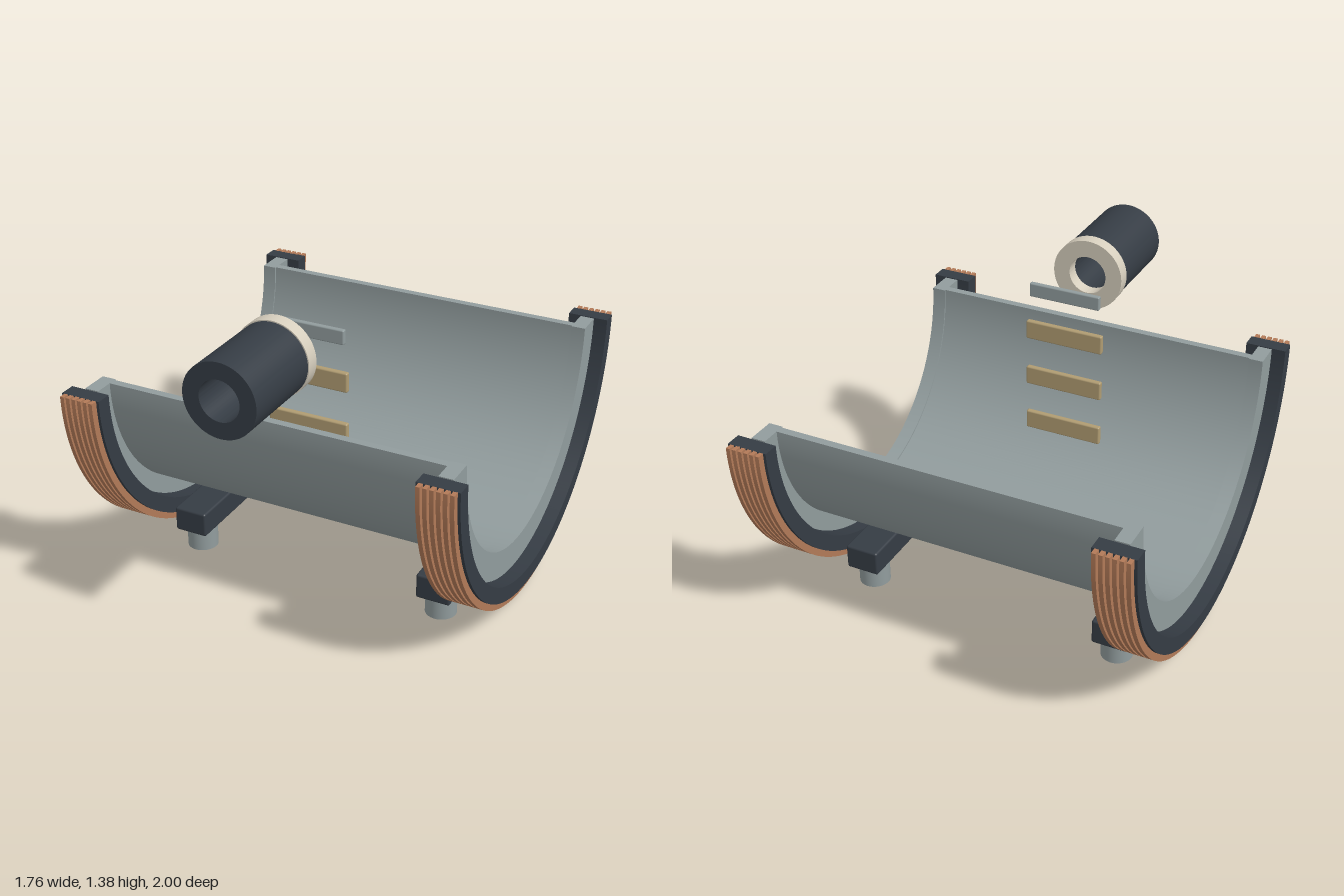
import * as THREE from 'three';
import { toCreasedNormals } from 'three/addons/utils/BufferGeometryUtils.js';
import { RoundedBoxGeometry } from 'three/addons/geometries/RoundedBoxGeometry.js';

const AXIS_Y = 0.955, AXIS_Z = -0.0875;

export function createModel() {
  const root = new THREE.Group();
  root.name = 'halfChamberAssembly';

  const mat = (name, color) => {
    const m = new THREE.MeshStandardMaterial({ color });
    m.name = name;
    return m;
  };
  const steel = mat('steel grey', 0x919c9d);
  const dark = mat('dark slate', 0x353c44);
  const copper = mat('copper', 0xb27a58);
  const tan = mat('tan', 0xb09c72);
  const cream = mat('cream', 0xd6cebd);

  const add = (name, geometry, material, x = 0, y = 0, z = 0) => {
    const mesh = new THREE.Mesh(geometry, material);
    mesh.name = name;
    mesh.position.set(x, y, z);
    root.add(mesh);
    return mesh;
  };

  // Lower half of a ring, swept along x and centred on its own middle
  const halfRing = (rIn, rOut, width) => {
    const s = new THREE.Shape();
    s.absarc(0, 0, rOut, Math.PI, 2 * Math.PI, false);
    s.absarc(0, 0, rIn, 2 * Math.PI, Math.PI, true);
    s.closePath();
    const g = new THREE.ExtrudeGeometry(s, { depth: width, bevelEnabled: false, curveSegments: 72 });
    g.translate(0, 0, -width / 2);
    g.rotateY(Math.PI / 2);
    return toCreasedNormals(g, 0.5);
  };

  // Full ring with a through bore, swept along z
  const sleeve = (rIn, rOut, length) => {
    const s = new THREE.Shape();
    s.absarc(0, 0, rOut, 0, 2 * Math.PI, false);
    const hole = new THREE.Path();
    hole.absarc(0, 0, rIn, 0, 2 * Math.PI, true);
    s.holes.push(hole);
    const g = new THREE.ExtrudeGeometry(s, { depth: length, bevelEnabled: false, curveSegments: 48 });
    return toCreasedNormals(g, 0.5);
  };

  // Trough wall
  add('chamberWall', halfRing(0.687, 0.722, 1.514), steel, 0, AXIS_Y, AXIS_Z);

  const flangeGeo = halfRing(0.68, 0.805, 0.063);
  const collarGeo = halfRing(0.812, 0.882, 0.18);
  const windingGeo = halfRing(0.88, 0.9125, 0.018);
  const beamGeo = new RoundedBoxGeometry(0.155, 0.115, 0.86, 3, 0.01);
  const footGeo = new THREE.CylinderGeometry(0.069, 0.069, 0.106, 40);

  for (const side of [-1, 1]) {
    // End flange, coil former and windings
    add('endFlange', flangeGeo, steel, side * 0.7885, AXIS_Y, AXIS_Z);
    add('coilFormer', collarGeo, dark, side * 0.79, AXIS_Y, AXIS_Z);
    for (let i = 0; i < 6; i++) {
      add('coilWinding', windingGeo, copper, side * 0.79 + (i - 2.5) * 0.0275, AXIS_Y, AXIS_Z);
    }
    // Support beam with two feet
    add('supportBeam', beamGeo, dark, side * 0.593, 0.1625, AXIS_Z);
    for (const dz of [-0.33, 0.33]) {
      add('foot', footGeo, steel, side * 0.593, 0.053, AXIS_Z + dz);
    }
  }

  // Tan plates stacked in a vertical row
  const plateGeo = new RoundedBoxGeometry(0.362, 0.087, 0.026, 2, 0.007);
  for (const y of [0.562, 0.793, 1.024]) add('plate', plateGeo, tan, 0, y, 0.308);
  add('sampleBar', new RoundedBoxGeometry(0.33, 0.064, 0.024, 2, 0.006), steel, 0, 1.222, 0.308);

  // Horizontal bored barrel with a pale rim facing the bar
  add('barrel', sleeve(0.087, 0.158, 0.395), dark, 0, 1.218, 0.605);
  add('barrelRim', sleeve(0.087, 0.163, 0.06), cream, 0, 1.218, 0.545);

  return root;
}
